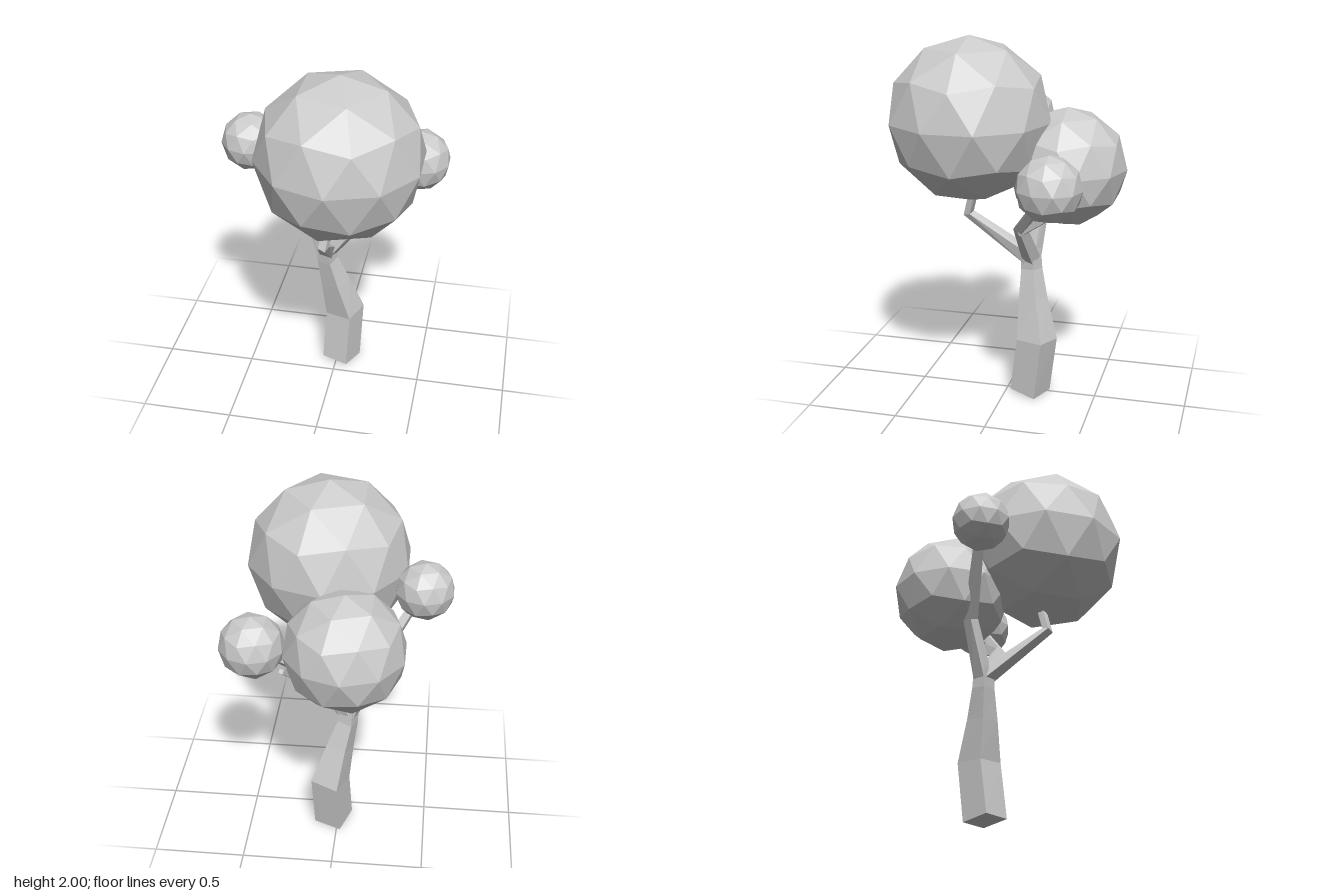
import * as THREE from 'three';

const material = new THREE.MeshStandardMaterial({ color: 0xcccccc, flatShading: true });

// Square-section limb lofted through points [x, y, z, halfWidth]
function limb(name, points) {
  const centres = points.map(([x, y, z]) => new THREE.Vector3(x, y, z));
  const last = centres.length - 1;
  const rings = centres.map((c, k) => {
    const dir = new THREE.Vector3();
    if (k > 0) dir.add(c.clone().sub(centres[k - 1]).normalize());
    if (k < last) dir.add(centres[k + 1].clone().sub(c).normalize());
    dir.normalize();
    const a = new THREE.Vector3(0.93, 0, 0.37);
    a.addScaledVector(dir, -a.dot(dir)).normalize();
    const b = dir.clone().cross(a);
    const h = points[k][3];
    return [[-1, -1], [1, -1], [1, 1], [-1, 1]].map(([s, t]) =>
      c.clone().addScaledVector(a, s * h).addScaledVector(b, t * h));
  });
  const corners = [];
  const quad = (p, q, r, s) => corners.push(p, q, r, p, r, s);
  for (let k = 0; k < last; k++) {
    for (let i = 0; i < 4; i++) {
      const j = (i + 1) % 4;
      quad(rings[k][i], rings[k][j], rings[k + 1][j], rings[k + 1][i]);
    }
  }
  quad(...[...rings[0]].reverse());
  quad(...rings[last]);
  const geometry = new THREE.BufferGeometry().setFromPoints(corners);
  geometry.computeVertexNormals();
  const mesh = new THREE.Mesh(geometry, material);
  mesh.name = name;
  return mesh;
}

// Faceted foliage ball with a vertex at its top
function foliage(name, radius, x, y, z) {
  const geometry = new THREE.IcosahedronGeometry(radius, 1);
  geometry.rotateZ(-Math.atan(2 / (1 + Math.sqrt(5))));
  const mesh = new THREE.Mesh(geometry, material);
  mesh.position.set(x, y, z);
  mesh.name = name;
  return mesh;
}

export function createModel() {
  const tree = new THREE.Group();
  tree.name = 'tree';

  // Bent trunk
  tree.add(limb('trunk', [
    [0.025, 0.015, -0.135, 0.08],
    [0.038, 0.33, -0.175, 0.08],
    [-0.015, 0.55, -0.14, 0.057],
    [-0.055, 0.71, -0.122, 0.042],
    [-0.06, 0.82, -0.115, 0.04],
  ]));

  // Branches, one per side, and a bare fork
  tree.add(limb('frontBranch', [
    [-0.055, 0.77, -0.12, 0.036],
    [-0.01, 1.02, 0.225, 0.022],
    [0.03, 1.22, 0.17, 0.018],
  ]));
  tree.add(limb('rightBranch', [
    [-0.07, 0.77, -0.12, 0.036],
    [-0.175, 1.07, -0.155, 0.028],
    [-0.41, 1.46, -0.02, 0.018],
  ]));
  tree.add(limb('leftBranch', [
    [-0.05, 0.77, -0.12, 0.036],
    [0.12, 0.99, -0.1, 0.028],
    [0.4, 1.28, -0.3, 0.018],
  ]));
  tree.add(limb('bareFork', [
    [0.12, 0.98, -0.1, 0.027],
    [0.2, 1.1, -0.27, 0.022],
    [0.253, 1.24, -0.44, 0.012],
  ]));

  // Foliage
  tree.add(foliage('frontFoliage', 0.441, 0.07, 1.559, 0.19));
  tree.add(foliage('backFoliage', 0.322, -0.055, 1.303, -0.313));
  tree.add(foliage('leftFoliage', 0.172, 0.42, 1.303, -0.315));
  tree.add(foliage('rightFoliage', 0.156, -0.44, 1.495, -0.005));

  return tree;
}
